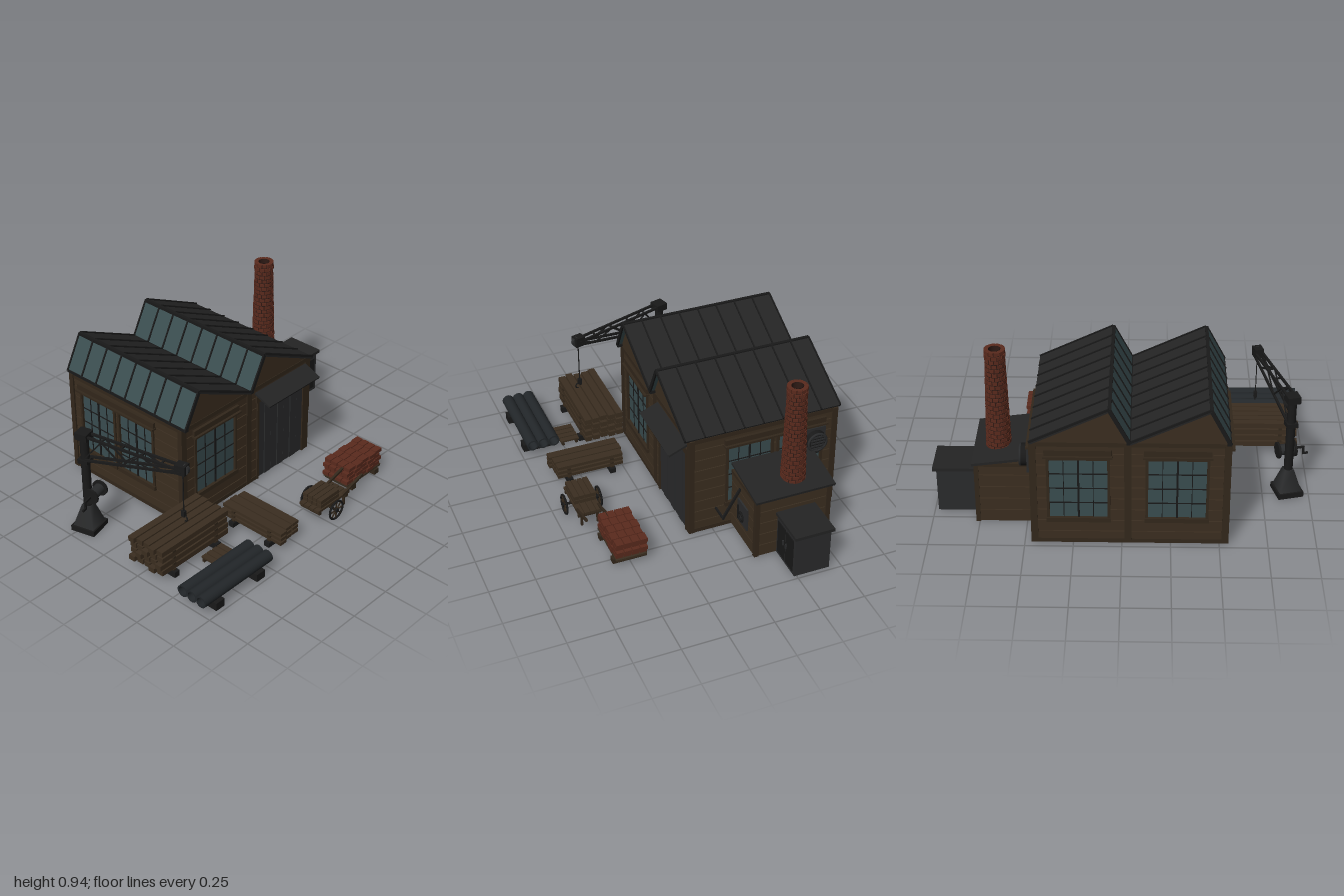
import * as THREE from 'three';
import { mergeGeometries } from 'three/addons/utils/BufferGeometryUtils.js';

const mat = (name, color) => Object.assign(new THREE.MeshStandardMaterial({ color }), { name });
const M = {
  wood: mat('dark wood', 0x3b2e20), trim: mat('timber frame', 0x32271b), roof: mat('roof sheet', 0x242424),
  iron: mat('black iron', 0x191919), glass: mat('teal glass', 0x3a4d50), brick: mat('red brick', 0x5a2a1d),
  mortar: mat('mortar', 0x2a1813), pipe: mat('steel pipe', 0x222629), door: mat('charcoal panel', 0x2a2b2c),
};
const V = (x, y, z) => new THREE.Vector3(x, y, z);

function mesh(parent, name, material, geo, x = 0, y = 0, z = 0) {
  const m = new THREE.Mesh(geo, material);
  m.name = name;
  m.position.set(x, y, z);
  parent.add(m);
  return m;
}
// One mesh from many boxes, each [w, h, d, x, y, z]
const boxes = (parent, name, material, list) => mesh(parent, name, material,
  mergeGeometries(list.map(([w, h, d, x, y, z]) => new THREE.BoxGeometry(w, h, d).translate(x, y, z))));
// Square bar between two points
function bar(parent, name, material, p, q, w = 0.01, h = w) {
  const m = mesh(parent, name, material, new THREE.BoxGeometry(w, h, p.distanceTo(q)));
  m.position.copy(p).lerp(q, 0.5);
  m.lookAt(q);
  return m;
}
function group(parent, name, x = 0, y = 0, z = 0, ry = 0) {
  const g = new THREE.Group();
  g.name = name;
  g.position.set(x, y, z);
  g.rotation.y = ry;
  parent.add(g);
  return g;
}
const cyl = (r, l, n = 16, r2 = r) => new THREE.CylinderGeometry(r, r2, l, n);
const range = (n, f) => Array.from({ length: n }, (_, i) => f(i));

// Plank wall facing local +z, with openings [centre, width, y0, y1]
function wall(parent, name, length, height, x, z, ry, openings = []) {
  const g = group(parent, name, x, 0, z, ry), rows = Math.round(height / 0.0667), p = height / rows, list = [];
  for (let r = 0; r < rows; r++) {
    const y = (r + 0.5) * p;
    let start = -length / 2;
    const cuts = openings.filter(o => y > o[2] && y < o[3]).sort((a, b) => a[0] - b[0]);
    for (const [c, w] of [...cuts, [length / 2, 0]]) {
      const end = c - w / 2;
      if (end - start > 0.005) list.push([end - start, p - 0.005, 0.018, (start + end) / 2, y, 0]);
      start = c + w / 2;
    }
  }
  boxes(g, 'planks', M.wood, list);
  return g;
}
// Glazed window with bars on both faces, sill and lintel
function windowUnit(parent, c, w) {
  const g = group(parent, 'window', c, 0, 0), y0 = 0.155, h = 0.345, yc = y0 + h / 2;
  boxes(g, 'glass', M.glass, [[w, h + 0.02, 0.008, 0, yc, 0.002]]);
  boxes(g, 'glazingBars', M.iron, [
    [0.01, h, 0.018, 0, yc, 0.003],
    ...[-1, 1].map(s => [0.004, h, 0.014, s * w / 4, yc, 0.003]),
    ...[1, 2, 3].map(i => [w, 0.005, 0.014, 0, y0 + h * i / 4, 0.003])]);
  boxes(g, 'frame', M.trim, [
    ...[-1, 1].map(s => [0.014, 0.4, 0.03, s * (w / 2 + 0.004), 0.335, 0.003]),
    [w + 0.03, 0.025, 0.036, 0, 0.143, 0.006], [w + 0.02, 0.03, 0.026, 0, 0.514, 0.003],
    [w + 0.04, 0.034, 0.034, 0, 0.545, 0.008], [w + 0.05, 0.01, 0.05, 0, 0.526, 0.014]]);
}
// Stack of boards along x, on cross sleepers
function boardStack(parent, name, x, z, ry, L, W, cols, layers, y0, y1) {
  const g = group(parent, name, x, 0, z, ry), ph = (y1 - y0) / layers, pw = W / cols, spots = [-0.31 * L, 0.31 * L];
  boxes(g, 'boards', M.wood, range(cols * layers, i => {
    const l = Math.floor(i / cols);
    return [L - 0.012 * ((i * 7) % 3), ph - 0.01, pw - 0.008, 0.004 * ((i * 5) % 3 - 1), y0 + (l + 0.5) * ph, (i % cols + 0.5) * pw - W / 2];
  }));
  boxes(g, 'spacers', M.trim, spots.flatMap(s => range(layers, l => [0.02, 0.012, W, s, y0 + l * ph, 0])));
  boxes(g, 'sleepers', M.iron, spots.map(s => [0.034, y0 - 0.004, W + 0.03, s, y0 / 2, 0]));
}

function buildHall(root) {
  const hall = group(root, 'workshop');
  const front = wall(hall, 'frontWall', 0.98, 0.6, -0.035, 0.12, 0, [[-0.2575, 0.3, 0.14, 0.52], [0.265, 0.37, -1, 0.52]]);
  const back = wall(hall, 'backWall', 0.98, 0.6, -0.035, -0.7, Math.PI, [[0.245, 0.3, 0.14, 0.52], [-0.255, 0.3, 0.14, 0.52]]);
  const right = wall(hall, 'rightWall', 0.82, 0.6, 0.448, -0.29, Math.PI / 2, [[-0.08, 0.25, 0.14, 0.52], [0.21, 0.25, 0.14, 0.52]]);
  const left = wall(hall, 'leftWall', 0.82, 0.6, -0.53, -0.29, -Math.PI / 2, [[0.08, 0.25, 0.14, 0.52], [-0.21, 0.25, 0.14, 0.52]]);
  windowUnit(front, -0.2575, 0.3);
  [0.245, -0.255].forEach(c => windowUnit(back, c, 0.3));
  [-0.08, 0.21].forEach(c => { windowUnit(right, c, 0.25); windowUnit(left, -c, 0.25); });

  // Timber frame
  const posts = [];
  for (const z of [0.12, -0.7]) for (const x of [-0.53, -0.03, 0.448]) posts.push([0.036, 0.6, 0.03, x, 0.3, z]);
  for (const y of [0.01, 0.59]) {
    for (const z of [0.12, -0.7]) if (y > 0.1 || z < 0) posts.push([0.98, 0.024, 0.026, -0.04, y, z]);
    for (const x of [-0.53, 0.448]) posts.push([0.026, 0.024, 0.82, x, y, -0.29]);
  }
  posts.push([0.57, 0.024, 0.026, -0.245, 0.01, 0.12]);
  boxes(hall, 'frame', M.trim, posts);

  // Sliding plank door and canopy
  boxes(front, 'door', M.door, range(7, i => [0.049, 0.49, 0.014 + (i % 2) * 0.006, 0.265 + (i - 3) * 0.053, 0.25, 0.003]));
  boxes(front, 'doorBacking', M.iron, [[0.37, 0.5, 0.006, 0.265, 0.25, -0.004]]);
  boxes(front, 'doorFrame', M.trim, [[0.41, 0.04, 0.03, 0.265, 0.52, 0.004],
    ...[-1, 1].map(s => [0.014, 0.5, 0.03, 0.265 + s * 0.19, 0.25, 0.003])]);
  bar(hall, 'doorCanopy', M.roof, V(0.225, 0.565, 0.13), V(0.225, 0.52, 0.235), 0.415, 0.012);

  // Saw-tooth roof: steep glazing on the left, ribbed sheet on the right
  const zc = -0.285, D = 0.89;
  for (const x0 of [-0.54, -0.04]) {
    const roof = group(hall, 'roofBay'), eave = [x0, 0.605], apex = [x0 + 0.1, 0.795], foot = [x0 + 0.5, 0.605];
    const slope = (name, m, a, b, t, d, z, off = 0) => {
      const dx = b[0] - a[0], dy = b[1] - a[1], l = Math.hypot(dx, dy);
      mesh(roof, name, m, new THREE.BoxGeometry(l, t, d),
        (a[0] + b[0]) / 2 - dy / l * off, (a[1] + b[1]) / 2 + dx / l * off, z).rotation.z = Math.atan2(dy, dx);
    };
    slope('roofGlass', M.glass, eave, apex, 0.01, D, zc);
    slope('roofSheet', M.roof, apex, foot, 0.014, D, zc);
    for (let i = 0; i <= 8; i++) {
      const z = zc + (i / 8 - 0.5) * (D - 0.006);
      slope('glazingRib', M.iron, eave, apex, 0.02, 0.009, z);
      slope('sheetRib', M.iron, apex, foot, 0.012, 0.007, z, 0.008);
    }
    boxes(roof, 'ridgeAndGutter', M.iron, [[0.018, 0.016, D, apex[0], apex[1] + 0.002, zc], [0.022, 0.016, D, eave[0] + 0.006, 0.608, zc]]);
    const tri = new THREE.Shape([eave, apex, foot].map(p => new THREE.Vector2(p[0], p[1] - 0.005)));
    const geo = new THREE.ExtrudeGeometry(tri, { depth: 0.018, bevelEnabled: false });
    for (const z of [0.112, -0.71]) mesh(roof, 'gable', M.wood, geo, 0, 0, z);
  }

  // Ventilator on the right wall
  const fan = group(hall, 'ventilator', 0.46, 0.445, -0.575);
  boxes(fan, 'mountPlate', M.door, [[0.03, 0.14, 0.125, 0.01, 0, 0]]);
  mesh(fan, 'housing', M.iron, cyl(0.058, 0.045, 20).rotateZ(Math.PI / 2), 0.038);
  mesh(fan, 'rim', M.door, new THREE.TorusGeometry(0.052, 0.008, 6, 20).rotateY(Math.PI / 2), 0.058);
  boxes(fan, 'louvres', M.door, range(5, i => [0.006, 0.008, 0.08, 0.062, (i - 2) * 0.018, 0]));
}

function buildBoilerHouse(root) {
  const g = group(root, 'boilerHouse');
  wall(g, 'boilerFront', 0.3, 0.36, 0.61, -0.12, 0);
  wall(g, 'boilerBack', 0.3, 0.36, 0.61, -0.525, Math.PI);
  wall(g, 'boilerSide', 0.4, 0.36, 0.757, -0.322, Math.PI / 2);
  boxes(g, 'cornerPosts', M.trim, [-0.12, -0.525].flatMap(z => [[0.024, 0.36, 0.026, 0.757, 0.18, z], [0.3, 0.02, 0.024, 0.61, 0.35, z]]));
  bar(g, 'boilerRoof', M.roof, V(0.462, 0.402, -0.33), V(0.778, 0.36, -0.33), 0.45, 0.014);

  // Hatch with wheel, plus a lever beside it
  boxes(g, 'hatch', M.door, [[0.12, 0.135, 0.012, 0.615, 0.175, -0.108]]);
  mesh(g, 'hatchWheel', M.iron, new THREE.TorusGeometry(0.026, 0.006, 6, 18), 0.608, 0.155, -0.098);
  bar(g, 'leverRod', M.iron, V(0.57, 0.31, -0.11), V(0.57, 0.14, -0.012), 0.012);
  bar(g, 'leverHandle', M.iron, V(0.47, 0.14, -0.015), V(0.575, 0.14, -0.015), 0.01);
  bar(g, 'leverStop', M.iron, V(0.57, 0.12, -0.1), V(0.57, 0.21, -0.1), 0.008);

  // Coal bunker
  const b = group(root, 'bunker', 0.873, 0, -0.335);
  boxes(b, 'body', M.door, [[0.215, 0.25, 0.2, 0, 0.125, 0]]);
  boxes(b, 'lid', M.roof, [[0.232, 0.018, 0.222, 0.011, 0.258, 0]]);
  boxes(b, 'doors', M.iron, [[0.084, 0.2, 0.006, -0.05, 0.12, 0.101], [0.084, 0.2, 0.006, 0.046, 0.12, 0.101]]);
  boxes(b, 'handles', M.door, [[0.008, 0.03, 0.012, -0.018, 0.13, 0.106], [0.008, 0.03, 0.012, 0.014, 0.13, 0.106]]);

  // Brick chimney: mortar core with staggered courses
  const c = group(root, 'chimney', 0.65, 0.37, -0.37), H = 0.575, rows = 24, n = 12;
  mesh(c, 'mortarCore', M.mortar, new THREE.LatheGeometry(
    [[0.064, 0], [0.049, H - 0.004], [0.028, H - 0.004], [0.028, H - 0.15], [0, H - 0.15]].map(p => new THREE.Vector2(...p)), 24));
  const bricks = [];
  for (let r = 0; r < rows; r++) {
    const y = (r + 0.5) * H / rows, R = 0.067 - 0.016 * r / rows + (r >= rows - 2 ? 0.003 : 0);
    for (let i = 0; i < n; i++)
      bricks.push(new THREE.BoxGeometry(2 * Math.PI * R / n - 0.005, H / rows - 0.005, 0.022)
        .translate(0, y, R - 0.012).rotateY((i + (r % 2) / 2) * 2 * Math.PI / n));
  }
  mesh(c, 'chimneyBricks', M.brick, mergeGeometries(bricks));
}

function buildCrane(root) {
  const g = group(root, 'crane'), L = 0.58, d = V(0.15 / L, 0, 0.56 / L), s = V(d.z, 0, -d.x), ry = Math.atan2(d.x, d.z);
  const P = (t, y, k = 0) => V(-0.885, y, -0.23).addScaledVector(d, t).addScaledVector(s, k);
  const post = group(g, 'post', -0.885, 0, -0.23, ry);
  boxes(post, 'basePlate', M.iron, [[0.14, 0.03, 0.14, 0, 0.015, 0]]);
  mesh(post, 'footing', M.door, cyl(0.035, 0.12, 4, 0.085).toNonIndexed().rotateY(Math.PI / 4), 0, 0.09, 0);
  mesh(post, 'column', M.iron, cyl(0.024, 0.58, 10), 0, 0.31, 0);
  boxes(post, 'collars', M.iron, [[0.07, 0.04, 0.07, 0, 0.585, 0], [0.06, 0.025, 0.06, 0, 0.43, 0]]);
  // Winch
  mesh(post, 'winchDrum', M.door, cyl(0.03, 0.08, 14).rotateZ(Math.PI / 2), 0, 0.24, 0.05);
  for (const x of [-0.045, 0.045]) mesh(post, 'winchFlange', M.iron, cyl(0.045, 0.012, 16).rotateZ(Math.PI / 2), x, 0.24, 0.05);
  boxes(post, 'winchCrank', M.iron, [[0.15, 0.01, 0.01, -0.03, 0.24, 0.05], [0.01, 0.05, 0.01, -0.1, 0.22, 0.05], [0.03, 0.01, 0.01, -0.112, 0.2, 0.05]]);
  // Lattice boom
  const top = t => 0.59 - 0.03 * t / L, low = t => 0.44 + 0.105 * t / L;
  for (const k of [-0.02, 0.02]) {
    bar(g, 'topChord', M.iron, P(0, top(0), k), P(L, top(L), k), 0.012);
    bar(g, 'lowerChord', M.iron, P(0, low(0), k), P(L, low(L), k), 0.012);
    for (let i = 0; i < 5; i++) {
      const a = i * L / 5, b = a + L / 5;
      bar(g, 'lattice', M.iron, P(a, i % 2 ? top(a) : low(a), k), P(b, i % 2 ? low(b) : top(b), k), 0.007);
    }
  }
  for (let i = 1; i <= 5; i++) bar(g, 'crossTie', M.iron, P(i * L / 5, top(i * L / 5), -0.024), P(i * L / 5, top(i * L / 5), 0.024), 0.008);
  const tip = P(L, 0.56), head = group(g, 'boomHead', tip.x, tip.y, tip.z, ry);
  boxes(head, 'headBlock', M.iron, [[0.05, 0.055, 0.06, 0, 0, -0.01]]);
  mesh(head, 'sheave', M.door, cyl(0.028, 0.02, 16).rotateZ(Math.PI / 2), 0, 0, 0.005);
  // Rope and hook
  bar(g, 'rope', M.iron, V(tip.x, 0.56, 0.325), V(tip.x, 0.29, 0.325), 0.005);
  boxes(g, 'hookBlock', M.iron, [[0.02, 0.034, 0.022, tip.x, 0.285, 0.325]]);
  mesh(g, 'hook', M.iron, new THREE.TorusGeometry(0.015, 0.004, 6, 14, 4.8).rotateY(Math.PI / 2), tip.x, 0.257, 0.335);
}

function buildYard(root) {
  boardStack(root, 'lumberStack', -0.718, 0.273, 0, 0.495, 0.235, 5, 4, 0.038, 0.195);
  boardStack(root, 'plankPile', -0.287, 0.45, Math.PI / 2, 0.405, 0.165, 3, 3, 0.032, 0.115);

  const pallet = group(root, 'pallet', -0.62, 0, 0.46);
  boxes(pallet, 'slats', M.wood, range(4, i => [0.032, 0.01, 0.11, (i - 1.5) * 0.039, 0.025, 0]));
  boxes(pallet, 'runners', M.trim, [-0.04, 0.04].map(z => [0.15, 0.02, 0.014, 0, 0.01, z]));

  // Pipes on sleepers
  const pipes = group(root, 'pipeRack'), ring = new THREE.Shape().absarc(0, 0, 0.033, 0, Math.PI * 2);
  ring.holes.push(new THREE.Path().absarc(0, 0, 0.025, 0, Math.PI * 2, true));
  const pipe = new THREE.ExtrudeGeometry(ring, { depth: 0.495, bevelEnabled: false, curveSegments: 16 }).rotateY(Math.PI / 2);
  for (const z of [0.568, 0.63, 0.692]) mesh(pipes, 'pipe', M.pipe, pipe, -1, 0.078, z);
  boxes(pipes, 'sleepers', M.iron, [-0.9, -0.6].map(x => [0.06, 0.045, 0.2, x, 0.0225, 0.63]));

  // Brick pile on its pallet
  const pile = group(root, 'brickPile', 0.422, 0, 0.498);
  boxes(pile, 'palletBoards', M.wood, [[0.29, 0.012, 0.17, 0, 0.036, 0]]);
  boxes(pile, 'palletRunners', M.trim, [-0.1, 0.1].map(x => [0.035, 0.03, 0.19, x, 0.015, 0]));
  const bricks = [];
  for (let r = 0; r < 4; r++) for (let i = 0; i < 5; i++) for (let j = 0; j < 4; j++)
    bricks.push([0.053, 0.021, 0.039, (i - 2) * 0.058 + (r % 2 ? 0.008 : -0.008), 0.054 + r * 0.026, (j - 1.5) * 0.044 + (i % 2 ? 0.003 : -0.003)]);
  boxes(pile, 'bricks', M.brick, bricks);

  // Hand cart
  const cart = group(root, 'handCart', 0.045, 0, 0.592);
  boxes(cart, 'bed', M.wood, range(4, i => [0.26, 0.014, 0.03, 0.02, 0.085, (i - 1.5) * 0.034]));
  boxes(cart, 'load', M.wood, range(8, i => [0.15, 0.022, 0.028, -0.01, 0.106 + Math.floor(i / 4) * 0.026, (i % 4 - 1.5) * 0.032]));
  boxes(cart, 'crossBeams', M.trim, [-0.09, 0, 0.13].map(x => [0.018, 0.02, 0.13, x, 0.07, 0]));
  boxes(cart, 'leg', M.trim, [-1, 1].map(s => [0.012, 0.07, 0.012, 0.13, 0.035, s * 0.045]));
  mesh(cart, 'axle', M.iron, cyl(0.007, 0.21, 8).rotateX(Math.PI / 2), 0, 0.06, 0);
  for (const s of [-1, 1]) {
    bar(root, 'cartHandle', M.trim, V(0.14, 0.085, 0.592 + s * 0.06), V(0.31, 0.135, 0.592 + s * 0.06), 0.013);
    const wheel = group(cart, 'wheel', 0, 0.06, s * 0.098);
    mesh(wheel, 'tyre', M.iron, new THREE.TorusGeometry(0.053, 0.006, 6, 24));
    mesh(wheel, 'hub', M.iron, cyl(0.012, 0.02, 10).rotateX(Math.PI / 2));
    for (let i = 0; i < 4; i++) mesh(wheel, 'spoke', M.trim, new THREE.BoxGeometry(0.102, 0.006, 0.006)).rotation.z = i * Math.PI / 4;
  }
}

export function createModel() {
  const root = new THREE.Group();
  root.name = 'workshopYard';
  [buildHall, buildBoilerHouse, buildCrane, buildYard].forEach(f => f(root));
  return root;
}
